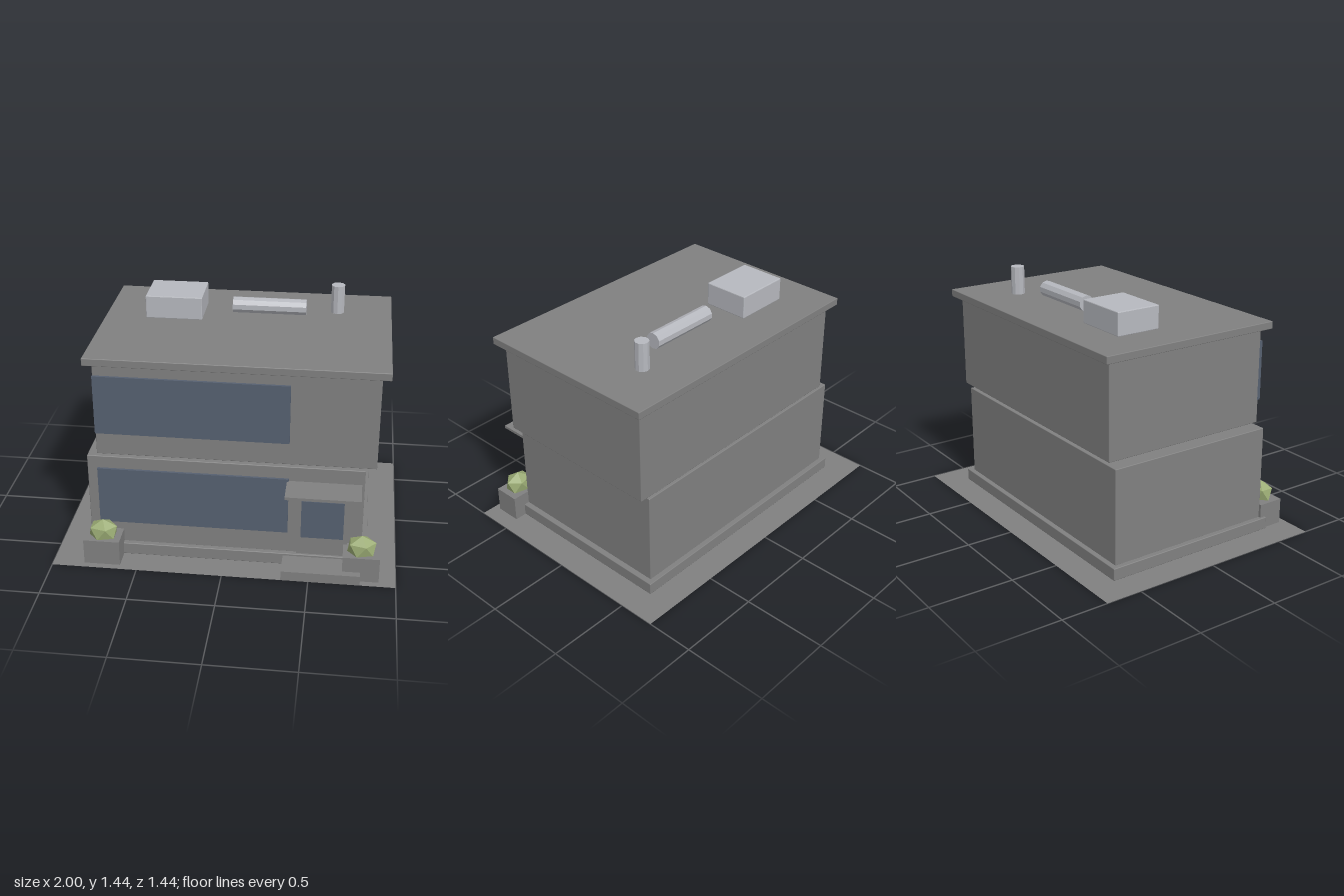
import * as THREE from 'three';
import { RoundedBoxGeometry } from 'three/addons/geometries/RoundedBoxGeometry.js';

function material(name, color, extra = {}) {
  const m = new THREE.MeshStandardMaterial({ color, ...extra });
  m.name = name;
  return m;
}

export function createModel() {
  const model = new THREE.Group();
  model.name = 'building';

  const concrete = material('concrete grey', 0x808080, { side: THREE.DoubleSide });
  const glass = material('dark blue glass', 0x566070);
  const metal = material('pale metal', 0xb6b8be, { flatShading: true });
  const leaf = material('leaf green', 0x9aab74, { flatShading: true });

  function add(name, geometry, mat, parent = model) {
    const mesh = new THREE.Mesh(geometry, mat);
    mesh.name = name;
    parent.add(mesh);
    return mesh;
  }

  // Box given by its extents, with a slight bevel when asked for
  function box(name, mat, [x0, x1], [y0, y1], [z0, z1], bevel = 0, parent = model) {
    const size = [x1 - x0, y1 - y0, z1 - z0];
    const geometry = bevel
      ? new RoundedBoxGeometry(...size, 1, bevel)
      : new THREE.BoxGeometry(...size);
    const mesh = add(name, geometry, mat, parent);
    mesh.position.set((x0 + x1) / 2, (y0 + y1) / 2, (z0 + z1) / 2);
    return mesh;
  }

  // Ground sheet
  add('ground', new THREE.PlaneGeometry(2, 1.435).rotateX(-Math.PI / 2), concrete);

  // Stacked storeys, the upper one shifted sideways above a thin gap
  box('plinth', concrete, [-0.83, 0.83], [0, 0.073], [-0.555, 0.555], 0.004);
  box('lowerStorey', concrete, [-0.8, 0.796], [0.07, 0.64], [-0.525, 0.525], 0.004);
  box('upperStorey', concrete, [-0.74, 0.857], [0.657, 1.23], [-0.525, 0.525], 0.004);
  box('roofSlab', concrete, [-0.785, 0.905], [1.225, 1.27], [-0.57, 0.57], 0.004);

  // Long front windows
  [['lowerWindow', 0.21], ['upperWindow', 0.795]].forEach(([name, y]) =>
    box(name, glass, [-0.74, 0.365], [y, y + 0.355], [0.52, 0.54]));

  // Entrance
  box('door', concrete, [0.42, 0.713], [0.07, 0.485], [0.52, 0.54]);
  box('doorGlass', glass, [0.442, 0.688], [0.187, 0.43], [0.538, 0.544]);
  box('canopy', concrete, [0.355, 0.78], [0.533, 0.55], [0.52, 0.707]);
  box('doorStep', concrete, [0.342, 0.796], [0, 0.06], [0.52, 0.718]);

  // Planters with faceted bushes
  const bushShape = new THREE.IcosahedronGeometry(1, 0)
    .rotateX(-Math.atan((1 + Math.sqrt(5)) / 2)) // one vertex straight up
    .rotateY(Math.PI / 2)
    .scale(0.092, 0.075, 0.074);
  for (const [side, x] of [['right', -0.71], ['left', 0.797]]) {
    const planter = new THREE.Group();
    planter.name = side + 'Planter';
    model.add(planter);
    box('planterBox', concrete, [x - 0.106, x + 0.106], [0, 0.155], [0.52, 0.677], 0, planter);
    add('bush', bushShape, leaf, planter).position.set(x, 0.186, 0.602);
  }

  // Rooftop equipment
  box('airUnit', metal, [-0.54, -0.205], [1.27, 1.408], [-0.325, -0.05], 0.005);
  const duct = add('duct', new THREE.CylinderGeometry(0.048, 0.048, 0.435, 10), metal);
  duct.rotation.set(0, Math.PI / 2, Math.PI / 2, 'YZX');
  duct.rotation.set(0, 0, Math.PI / 2);
  duct.rotateY(Math.PI / 2); // facet edge at the top
  duct.position.set(0.183, 1.325, -0.187);
  add('ventPipe', new THREE.CylinderGeometry(0.041, 0.041, 0.172, 10), metal)
    .position.set(0.582, 1.354, -0.28);

  return model;
}
